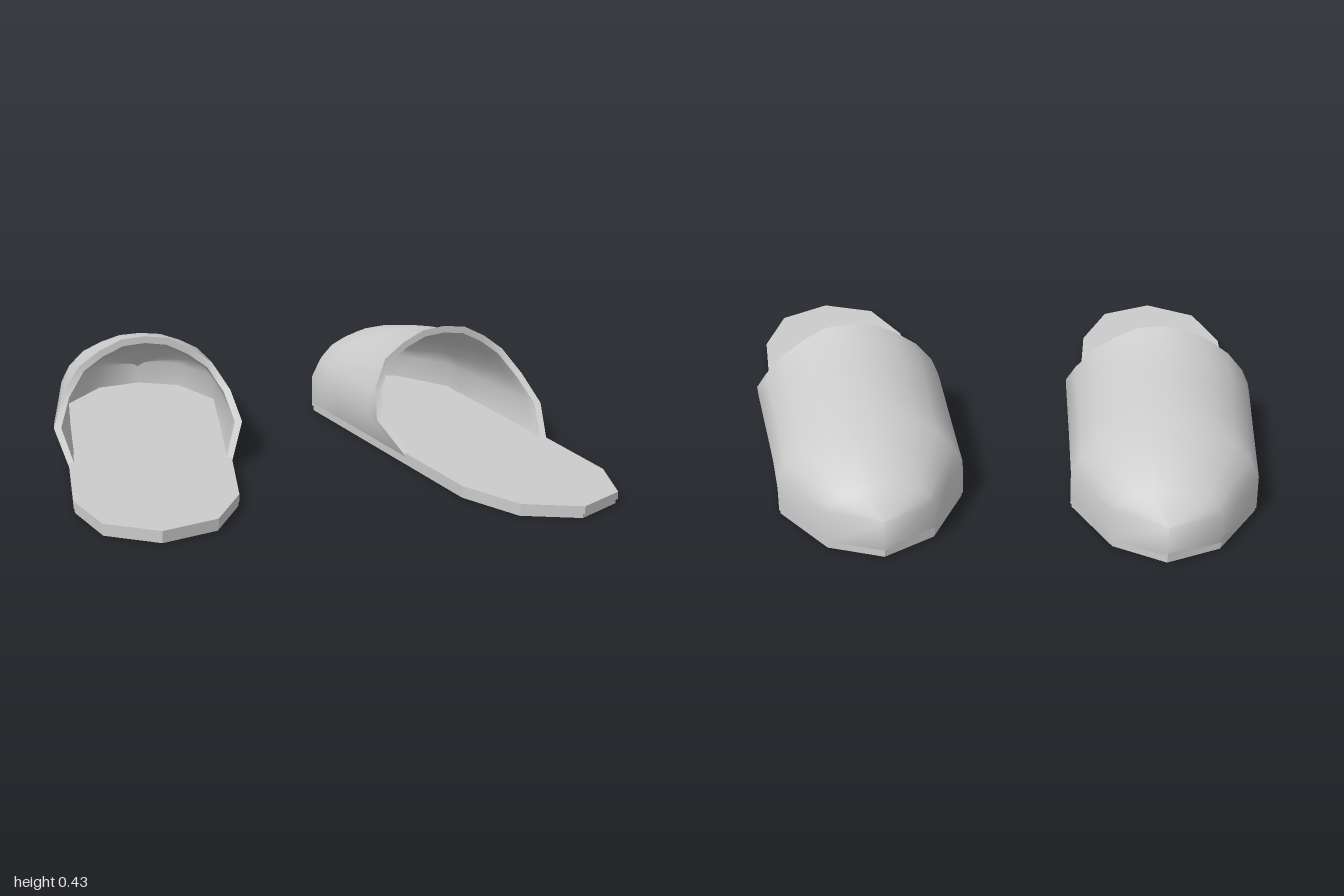
import * as THREE from 'three';
import { toCreasedNormals } from 'three/addons/utils/BufferGeometryUtils.js';

// Half of the sole outline, [half width, z], toe to heel
const OUTLINE = [[0, -0.956], [0.175, -0.865], [0.31, -0.62], [0.268, 0.626], [0.18, 0.865], [0, 0.96]];
const WALL = 0.135; // height of the steep side wall

function halfWidth(z) {
  for (let i = 1; i < OUTLINE.length; i++) {
    const [u0, z0] = OUTLINE[i - 1], [u1, z1] = OUTLINE[i];
    if (z <= z1) return u0 + (u1 - u0) * Math.max(0, (z - z0) / (z1 - z0));
  }
  return 0;
}

// Flat slab in the shape of the sole
function soleLayer(name, y, depth, scale, material) {
  const pts = OUTLINE.map(([u, z]) => new THREE.Vector2(u * scale, -z * scale));
  const left = OUTLINE.slice(1, -1).reverse().map(([u, z]) => new THREE.Vector2(-u * scale, -z * scale));
  const geo = new THREE.ExtrudeGeometry(new THREE.Shape([...pts, ...left]), { depth, bevelEnabled: false });
  geo.rotateX(-Math.PI / 2);
  geo.translate(0, y, 0);
  const mesh = new THREE.Mesh(geo, material);
  mesh.name = name;
  return mesh;
}

// Half arch from base to crown: [share of width, share of height above wall, z of the opening edge]
const ARCH = [
  [1, 0, 0.215], [1, 0, 0.07], [0.9, 0.33, -0.02], [0.72, 0.64, -0.07],
  [0.495, 0.83, -0.075], [0.255, 0.965, -0.075], [0, 1, -0.075],
];
// Stations from opening to toe: [z (null follows the opening edge), crown height, half width at the wall]
const STATIONS = [
  [null, 0.425, 0.333], [null, 0.393, 0.332], [-0.35, 0.37, 0.319], [-0.5, 0.345, 0.314],
  [-0.62, 0.32, 0.31], [-0.75, 0.278, 0.238], [-0.865, 0.215, 0.175], [-0.956, WALL, 0],
];

// One arch of the upper; inset moves it inwards for the lining
function archRow(k, inset) {
  const [station, height, width] = STATIONS[k];
  const half = ARCH.map(([share, rise, edge], i) => {
    const z = station ?? edge - 0.075 * k;
    const full = i === 0 ? halfWidth(z) : width * share;
    const u = full * (1 - inset / 0.32);
    const y = i === 0 ? 0.03 : WALL + rise * (height - WALL) - inset * rise;
    return [u, y, z + (k === STATIONS.length - 1 ? inset : 0)];
  });
  const mirrored = half.map(([u, y, z]) => [-u, y, z]);
  return [...mirrored, ...half.slice(0, -1).reverse()];
}

// Closed shell: lining from toe to opening, then the outside from opening to toe
function upperGeometry() {
  const order = STATIONS.map((_, k) => k);
  const rows = [
    ...[...order].reverse().map((k) => archRow(k, 0.025)),
    ...order.map((k) => archRow(k, 0)),
  ];
  const n = rows[0].length, index = [];
  for (let r = 0; r < rows.length - 1; r++) {
    for (let c = 0; c < n - 1; c++) {
      const a = r * n + c, b = a + 1, d = a + n, e = d + 1;
      index.push(a, b, d, b, e, d);
    }
  }
  const geo = new THREE.BufferGeometry();
  geo.setAttribute('position', new THREE.Float32BufferAttribute(rows.flat(2), 3));
  geo.setIndex(index);
  return toCreasedNormals(geo, 1.0);
}

export function createModel() {
  const material = new THREE.MeshStandardMaterial({ color: 0xcccccc });
  const shell = new THREE.MeshStandardMaterial({ color: 0xcccccc, side: THREE.DoubleSide });
  const upperGeo = upperGeometry();
  const model = new THREE.Group();
  model.name = 'slippers';

  // The pair, toes turned slightly inwards
  for (const [name, x, z, turn] of [
    ['rightSlipper', -0.565, -0.0475, -0.11],
    ['leftSlipper', 0.5525, 0.0425, 0.128],
  ]) {
    const slipper = new THREE.Group();
    slipper.name = name;
    const upper = new THREE.Mesh(upperGeo, shell);
    upper.name = 'upper';
    slipper.add(
      soleLayer('outsole', 0, 0.018, 0.988, material),
      soleLayer('insole', 0.018, 0.025, 1, material),
      upper,
    );
    slipper.position.set(x, 0, z);
    slipper.rotation.y = turn;
    model.add(slipper);
  }
  return model;
}
